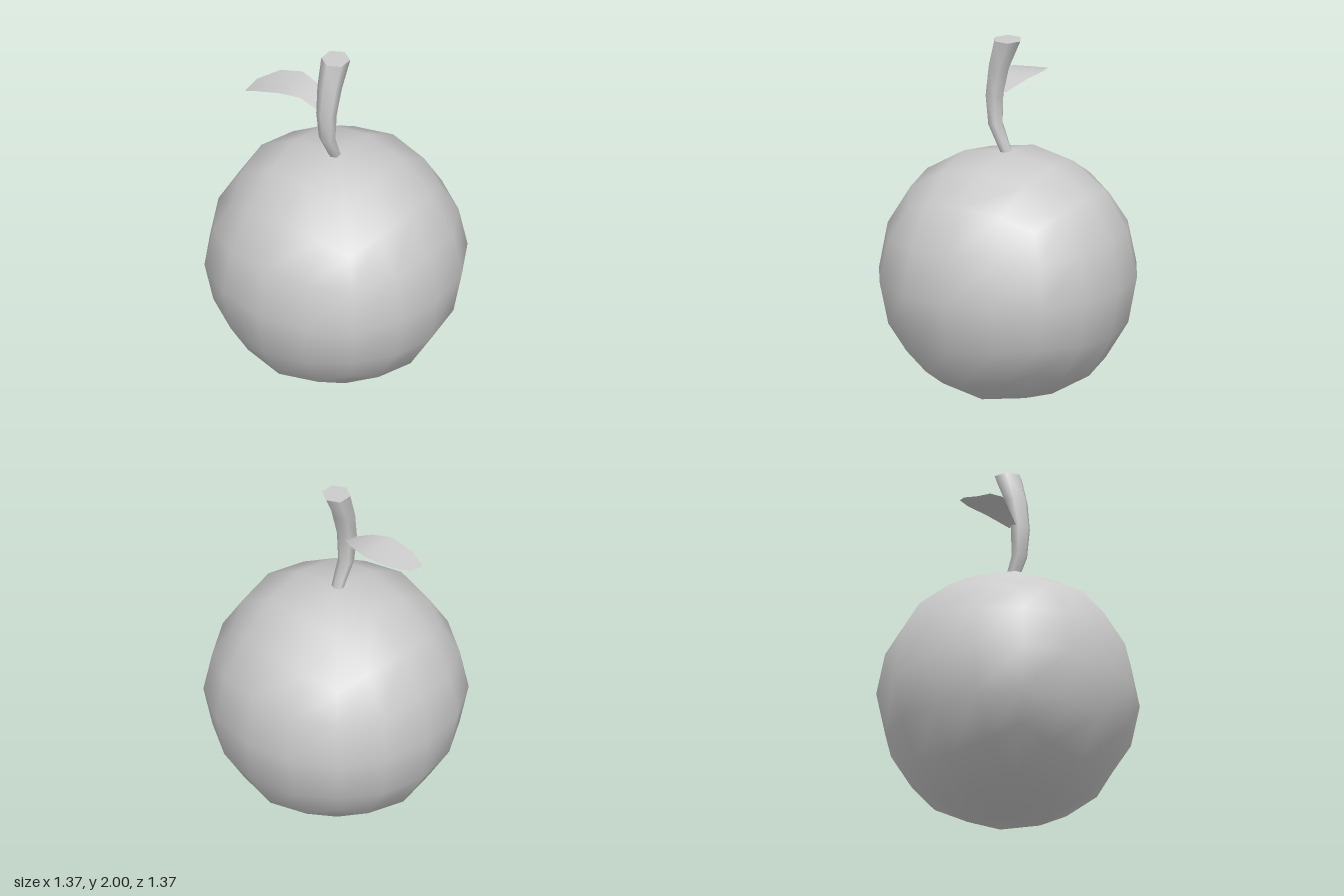
import * as THREE from 'three';
import { mergeVertices } from 'three/addons/utils/BufferGeometryUtils.js';

const grey = new THREE.MeshStandardMaterial({ color: 0xcccccc });
const greyThin = new THREE.MeshStandardMaterial({ color: 0xcccccc, side: THREE.DoubleSide });

function part(name, geometry, material = grey) {
  const mesh = new THREE.Mesh(geometry, material);
  mesh.name = name;
  return mesh;
}

// Surface through equal-length rows of points, with shared smooth normals
function loft(rows, closed) {
  const n = rows[0].length;
  const index = [];
  for (let r = 0; r < rows.length - 1; r++) {
    for (let i = 0; i < (closed ? n : n - 1); i++) {
      const a = r * n + i, b = r * n + (i + 1) % n;
      index.push(a, a + n, b, b, a + n, b + n);
    }
  }
  const geometry = new THREE.BufferGeometry();
  geometry.setAttribute('position', new THREE.Float32BufferAttribute(rows.flat(2), 3));
  geometry.setIndex(index);
  geometry.computeVertexNormals();
  return geometry;
}

// Fruit: a 4x4x4 box rounded as a twice-subdivided cube.
// Keys are the sorted grid steps of a vertex; values are its rounded coordinates.
function fruitGeometry() {
  const rounded = {
    '002': [0, 0, 0.687], '012': [0, 0.274, 0.641], '022': [0, 0.503, 0.503],
    '112': [0.255, 0.255, 0.598], '122': [0.236, 0.469, 0.469], '222': [0.398, 0.398, 0.398],
  };
  const box = new THREE.BoxGeometry(4, 4, 4, 4, 4, 4);
  box.deleteAttribute('uv');
  box.deleteAttribute('normal');
  const geometry = mergeVertices(box);
  const pos = geometry.attributes.position;
  for (let i = 0; i < pos.count; i++) {
    const p = [pos.getX(i), pos.getY(i), pos.getZ(i)].map(Math.round);
    const steps = p.map(Math.abs).sort();
    const target = rounded[steps.join('')];
    pos.setXYZ(i, ...p.map((v) => Math.sign(v) * target[steps.indexOf(Math.abs(v))]));
  }
  geometry.computeVertexNormals();
  return geometry;
}

// Six-sided ring of the stem
function ring([x, y, rx, rz]) {
  return Array.from({ length: 6 }, (_, i) => {
    const a = -i * Math.PI / 3;
    return [x + rx * Math.cos(a), y, -rz * Math.sin(a) / Math.sin(Math.PI / 3)];
  });
}

export function createModel() {
  const model = new THREE.Group();

  const fruit = part('fruit', fruitGeometry());
  fruit.position.y = 0.689;
  model.add(fruit);

  // Curved stem, widening upward: centre x, height, half width, half depth
  const sections = [
    [-0.013, 1.368, 0.034, 0.03],
    [-0.078, 1.515, 0.043, 0.039],
    [-0.084, 1.68, 0.053, 0.049],
    [-0.056, 1.84, 0.062, 0.059],
    [-0.002, 2.0, 0.078, 0.068],
  ];
  // Rings run top to bottom so the faces point outward
  const rings = sections.map(ring).reverse();
  const stem = new THREE.Group();
  stem.name = 'stem';
  stem.add(part('stemSide', loft(rings, true).clone(), greyThin));

  // Flat cut ends of the stem
  for (const [name, points] of [['stemTop', rings[0]], ['stemBase', rings[4]]]) {
    const cx = points.reduce((s, p) => s + p[0], 0) / 6;
    const centre = points.map(() => [cx, points[0][1], 0]);
    const rows = name === 'stemTop' ? [centre, points] : [points, centre];
    stem.add(part(name, loft(rows, true), greyThin));
  }
  model.add(stem);

  // Leaf arching backward: [x, y, z] of each side, from root to tip
  const left = [[-0.09, 1.68, -0.04], [-0.12, 1.74, -0.15], [-0.165, 1.752, -0.25],
    [-0.187, 1.715, -0.39], [-0.175, 1.67, -0.48]];
  const right = [[-0.035, 1.685, -0.035], [0.035, 1.742, -0.14], [0.06, 1.755, -0.27],
    [0.02, 1.735, -0.39], [-0.075, 1.693, -0.475]];
  const leafRows = left.map((l, i) => {
    const middle = l.map((v, k) => (v + right[i][k]) / 2);
    return [right[i], middle, l];
  });
  leafRows.forEach((row) => row.reverse());
  // Right-to-left order reversed so the upper face is the front
  model.add(part('leaf', loft(leafRows.map((row) => row.slice().reverse()), false), greyThin));

  return model;
}
